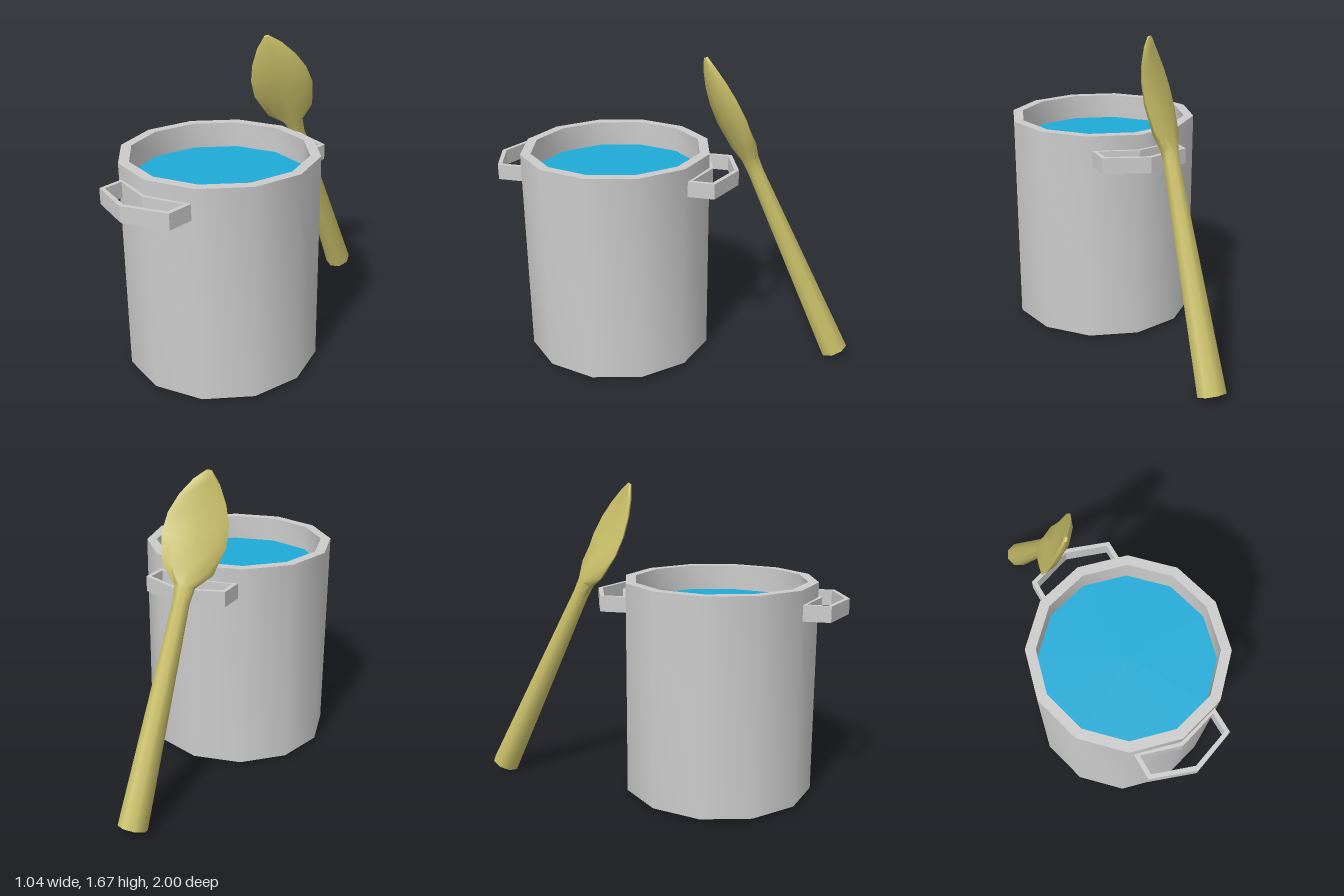
import * as THREE from 'three';
import { toCreasedNormals } from 'three/addons/utils/BufferGeometryUtils.js';

const POT_Z = 0.317, SIDES = 12;

function mesh(name, geometry, color) {
  const m = new THREE.Mesh(geometry, new THREE.MeshStandardMaterial({ color, side: THREE.DoubleSide }));
  m.name = name;
  return m;
}

// Closed loop handle: bent grip, two arms and a strip against the pot wall
function handleGeometry() {
  const outline = (w, back, backMid, front, frontMid) => [
    [-w, back], [0, backMid], [w, back], [w, front], [0, frontMid], [-w, front],
  ].map(([x, y]) => new THREE.Vector2(x, y));
  const shape = new THREE.Shape(outline(0.235, 0.45, 0.51, 0.597, 0.68));
  shape.holes.push(new THREE.Path(outline(0.212, 0.477, 0.54, 0.582, 0.655)));
  const g = new THREE.ExtrudeGeometry(shape, { depth: 0.083, bevelEnabled: false });
  return g.rotateX(Math.PI / 2).translate(0, 1.092, 0);
}

// Spoon lofted along +y. Rows: [distance, half width, half thickness, bulge of the bowl]
function spoonGeometry() {
  const rows = [
    [0, 0.077, 0.077, 0], [1.14, 0.044, 0.044, 0], [1.22, 0.054, 0.045, 0],
    [1.3, 0.13, 0.042, 0.006], [1.45, 0.168, 0.035, 0.022], [1.56, 0.158, 0.028, 0.028],
    [1.66, 0.122, 0.022, 0.024], [1.75, 0.068, 0.016, 0.012], [1.807, 0.014, 0.01, 0],
  ];
  const n = 8, pos = [], idx = [];
  for (const [t, w, d, bulge] of rows) {
    for (let j = 0; j < n; j++) {
      const a = (j / n) * Math.PI * 2, c = Math.cos(a);
      pos.push(w * c, t, d * Math.sin(a) + bulge * (1 - 0.7 * c * c));
    }
  }
  for (let i = 0; i < rows.length - 1; i++) {
    for (let j = 0; j < n; j++) {
      const a = i * n + j, b = i * n + (j + 1) % n;
      idx.push(a, a + n, b, b, a + n, b + n);
    }
  }
  // end caps
  const last = (rows.length - 1) * n;
  for (let j = 1; j < n - 1; j++) {
    idx.push(0, j, j + 1, last, last + j + 1, last + j);
  }
  const g = new THREE.BufferGeometry();
  g.setAttribute('position', new THREE.Float32BufferAttribute(pos, 3));
  g.setIndex(idx);
  return toCreasedNormals(g, 0.85);
}

export function createModel() {
  const model = new THREE.Group();
  model.name = 'potWithSpoon';

  // Pot and its contents
  const pot = new THREE.Group();
  pot.name = 'pot';
  pot.position.z = POT_Z;
  const profile = [[0, 0.02], [0.52, 0.02], [0.52, 1.17], [0.465, 1.17], [0.465, 1.02]]
    .map(([x, y]) => new THREE.Vector2(x, y));
  pot.add(mesh('potBody', toCreasedNormals(new THREE.LatheGeometry(profile, SIDES), 0.7), 0xcccccc));

  const liquid = mesh('liquid', new THREE.CircleGeometry(0.465, SIDES).rotateX(-Math.PI / 2), 0x1eabd8);
  liquid.position.y = 1.03;
  pot.add(liquid);

  for (const [name, turn] of [['frontHandle', 0], ['backHandle', Math.PI]]) {
    const handle = mesh(name, handleGeometry(), 0xcccccc);
    handle.rotation.y = turn;
    pot.add(handle);
  }
  model.add(pot);

  // Spoon leaning on the back of the pot, twisted about its own axis
  const spoon = mesh('spoon', spoonGeometry(), 0xc8be68);
  spoon.rotation.order = 'XYZ';
  spoon.rotation.set(Math.atan2(0.428, 0.904), 0.7, 0);
  spoon.position.set(-0.077, 0.033, -0.93);
  model.add(spoon);

  return model;
}
